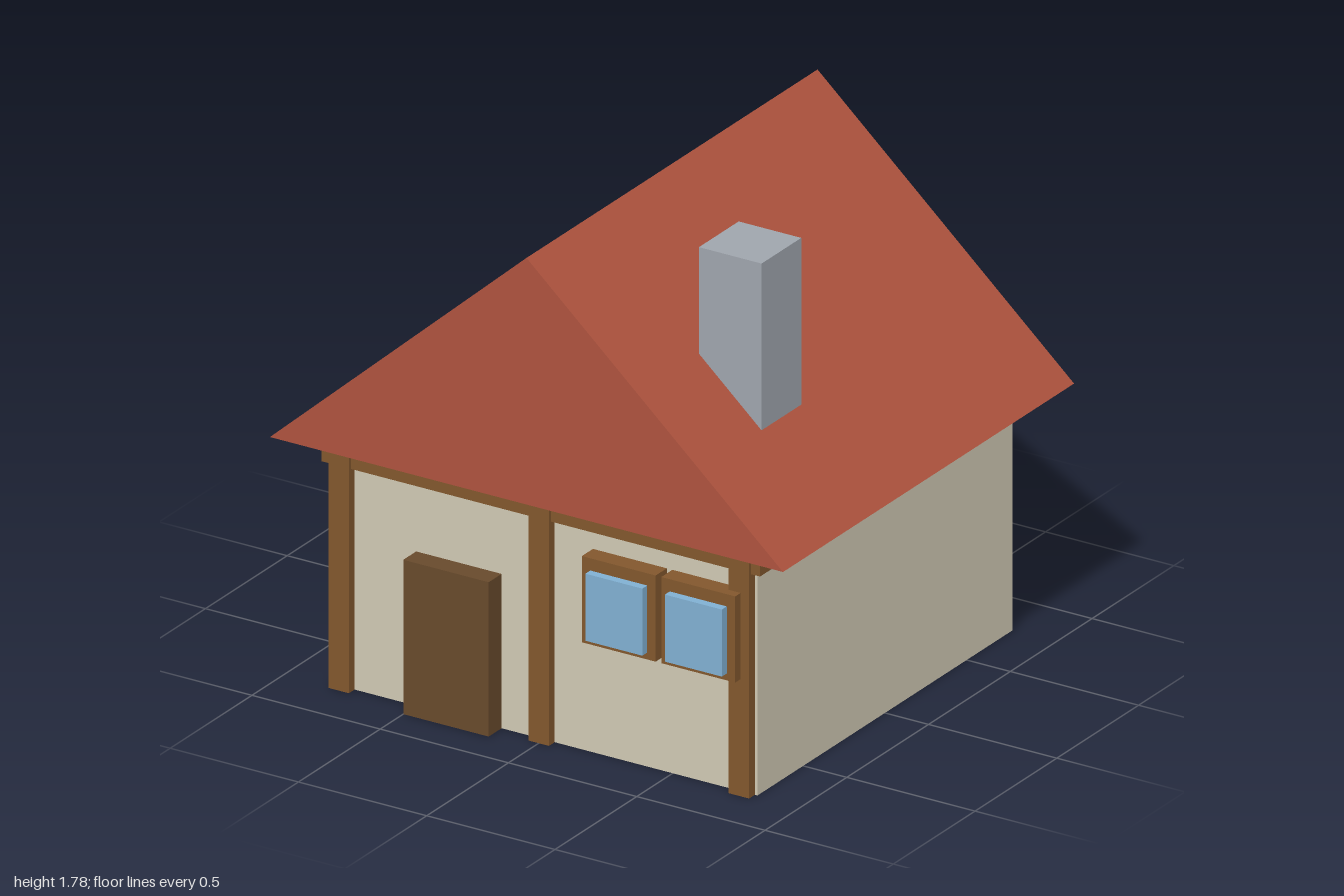
import * as THREE from 'three';

export function createModel() {
  const house = new THREE.Group();
  house.name = 'house';

  const material = (name, color) => {
    const m = new THREE.MeshStandardMaterial({ color });
    m.name = name;
    return m;
  };
  const plaster = material('plaster', 0xd0c8b3);
  const tile = material('roofTile', 0xae533e);
  const timber = material('timber', 0x82572d);
  const darkWood = material('darkWood', 0x684a2c);
  const glass = material('glass', 0x80b0d2);
  const stone = material('stone', 0x9fa5ad);

  // Box given by its extents along each axis
  const box = (name, mat, [x0, x1], [y0, y1], [z0, z1], parent = house) => {
    const mesh = new THREE.Mesh(new THREE.BoxGeometry(x1 - x0, y1 - y0, z1 - z0), mat);
    mesh.position.set((x0 + x1) / 2, (y0 + y1) / 2, (z0 + z1) / 2);
    mesh.name = name;
    parent.add(mesh);
  };

  // Walls and the timber band under the eaves
  box('walls', plaster, [-0.83, 0.83], [0, 0.89], [-0.78, 0.78]);
  box('eavesBeam', timber, [-0.855, 0.855], [0.805, 0.88], [-0.803, 0.803]);

  // Solid gable roof
  const gable = new THREE.Shape([
    new THREE.Vector2(-1, 0.89),
    new THREE.Vector2(1, 0.89),
    new THREE.Vector2(0, 1.78),
  ]);
  const roofGeometry = new THREE.ExtrudeGeometry(gable, { depth: 1.78, bevelEnabled: false });
  roofGeometry.translate(0, 0, -0.89);
  const roof = new THREE.Mesh(roofGeometry, tile);
  roof.name = 'roof';
  house.add(roof);

  // Chimney, sunk into the right slope
  box('chimney', stone, [0.432, 0.676], [1.12, 1.78], [0.27, 0.513]);

  // Front posts
  for (const x of [-0.78, 0, 0.78]) {
    box('frontPost', timber, [x - 0.04, x + 0.04], [0, 0.89], [0.77, 0.815]);
  }

  // Door
  box('door', darkWood, [-0.5, -0.167], [0, 0.557], [0.77, 0.859]);

  // Pair of framed windows
  for (const x of [0.333, 0.643]) {
    const win = new THREE.Group();
    win.name = 'window';
    box('windowFrame', timber, [x - 0.144, x + 0.144], [0.423, 0.734], [0.77, 0.848], win);
    box('windowPane', glass, [x - 0.111, x + 0.111], [0.448, 0.69], [0.8, 0.878], win);
    house.add(win);
  }

  return house;
}
